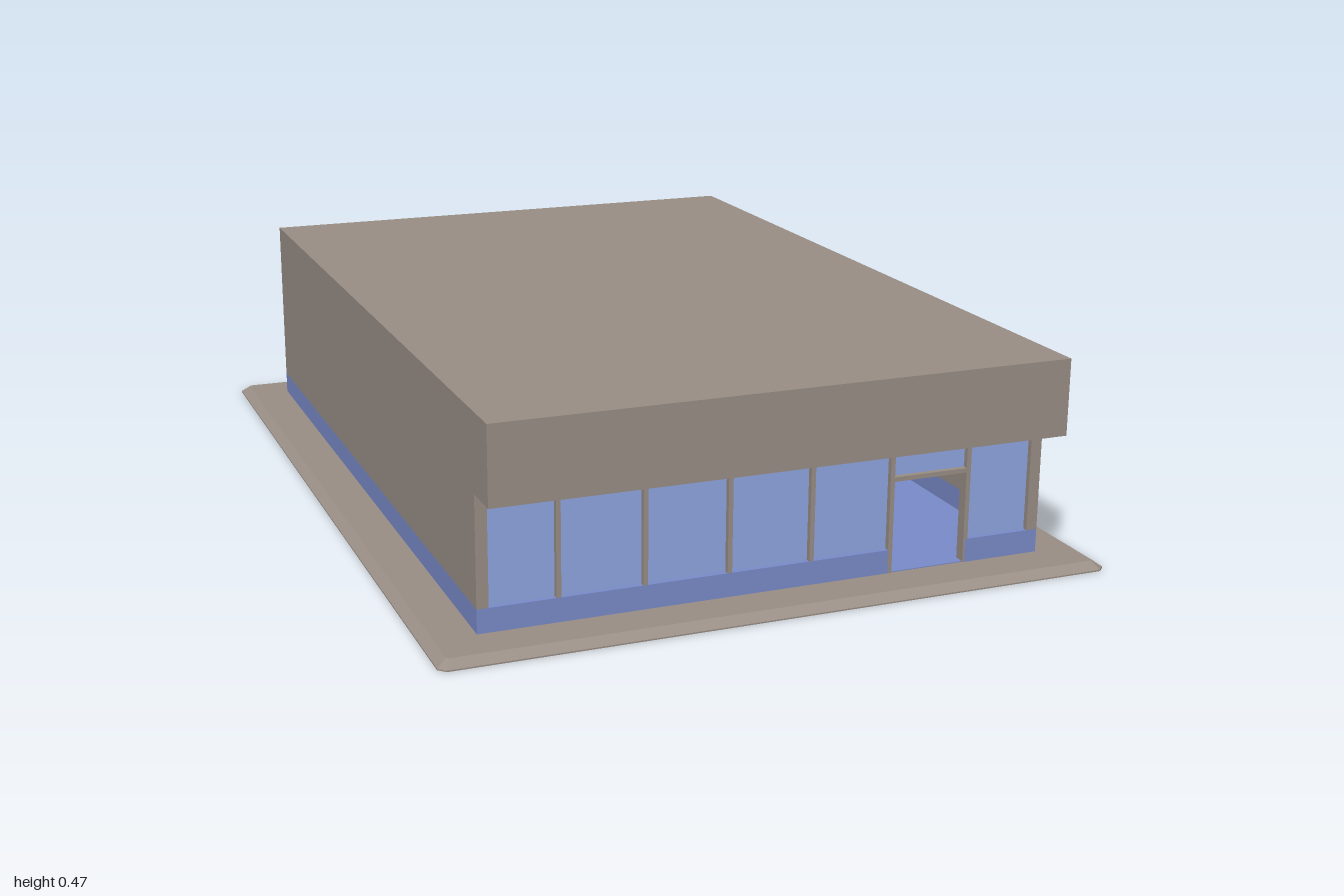
import * as THREE from 'three';
import { ConvexGeometry } from 'three/addons/geometries/ConvexGeometry.js';

const paint = (color) => new THREE.MeshStandardMaterial({ color });

export function createModel() {
  const model = new THREE.Group();
  const wall = paint(0x9a8f86);
  const plinth = paint(0x7a8cca);
  const glass = paint(0x8fa6e2);

  // Box from its limits on each axis
  function box(name, [x0, x1], [y0, y1], [z0, z1], material, parent = model) {
    const mesh = new THREE.Mesh(new THREE.BoxGeometry(x1 - x0, y1 - y0, z1 - z0), material);
    mesh.position.set((x0 + x1) / 2, (y0 + y1) / 2, (z0 + z1) / 2);
    mesh.name = name;
    parent.add(mesh);
    return mesh;
  }

  const W = 0.63, D = 0.89, T = 0.025;       // half width, half depth, wall thickness
  const ground = 0.018, sill = 0.07, eave = 0.308, top = 0.475, doorTop = 0.22;
  const frontDoor = [0.275, 0.455], backDoor = [0.37, 0.48];
  const inner = W - T;

  // Ground slab with sloped edges and clipped corners
  const points = [];
  for (const [hx, hz, y, cut] of [[0.738, 1, 0, 0.015], [0.738, 1, 0.003, 0.015], [0.717, 0.979, ground, 0.005]]) {
    for (const sx of [-1, 1]) for (const sz of [-1, 1]) {
      points.push(new THREE.Vector3(sx * (hx - cut), y, sz * hz));
      points.push(new THREE.Vector3(sx * hx, y, sz * (hz - cut)));
    }
  }
  const slab = new THREE.Mesh(new ConvexGeometry(points), wall);
  slab.name = 'groundSlab';
  model.add(slab);

  // Interior floor and dividing wall
  box('floor', [-inner, inner], [ground - 0.005, ground + 0.002], [-D + 0.002, D - 0.002], plinth);
  box('dividingWall', [-inner, inner], [ground, eave], [-T / 2, T / 2], wall);

  // Roof block overhanging the front
  box('roof', [-W, W], [eave, top], [-D, 0.98], wall);

  // Side walls on a coloured plinth
  for (const s of [-1, 1]) {
    const span = s > 0 ? [inner, W] : [-W, -inner];
    box('sideWall', span, [sill, eave], [-D, D], wall);
    box('sidePlinth', span, [ground, sill], [-D, D], plinth);
  }

  // Back wall and plinth, open at the back door
  const back = new THREE.Shape();
  [[-inner, sill], [backDoor[0], sill], [backDoor[0], doorTop], [backDoor[1], doorTop],
    [backDoor[1], sill], [inner, sill], [inner, eave], [-inner, eave]]
    .forEach(([x, y], i) => (i ? back.lineTo(x, y) : back.moveTo(x, y)));
  const backWall = new THREE.Mesh(new THREE.ExtrudeGeometry(back, { depth: T, bevelEnabled: false }), wall);
  backWall.name = 'backWall';
  backWall.position.z = -D;
  model.add(backWall);

  // Plinth runs either side of each door
  for (const [name, door, z] of [['backPlinth', backDoor, [-D, -D + T]], ['frontPlinth', frontDoor, [D - T, D]]]) {
    box(name, [-inner, door[0]], [ground, sill], z, plinth);
    box(name, [door[1], inner], [ground, sill], z, plinth);
  }

  // Glazed front: panes between slim mullions
  const front = new THREE.Group();
  front.name = 'shopFront';
  model.add(front);
  const bars = [-0.46, -0.276, -0.092, 0.092, ...frontDoor];
  const edges = [-inner, ...bars, inner];
  for (let i = 0; i < edges.length - 1; i++) {
    const overDoor = edges[i] === frontDoor[0];
    box('windowPane', [edges[i], edges[i + 1]], [overDoor ? doorTop + 0.008 : sill, eave],
      [D - 0.018, D - 0.012], glass, front);
  }
  for (const x of bars) {
    const atDoor = frontDoor.includes(x);
    box(atDoor ? 'doorJamb' : 'mullion', [x - 0.005, x + 0.005], [atDoor ? ground : sill, eave],
      [D - T, D], wall, front);
  }
  box('doorHead', frontDoor, [doorTop, doorTop + 0.01], [D - T, D], wall, front);

  return model;
}
